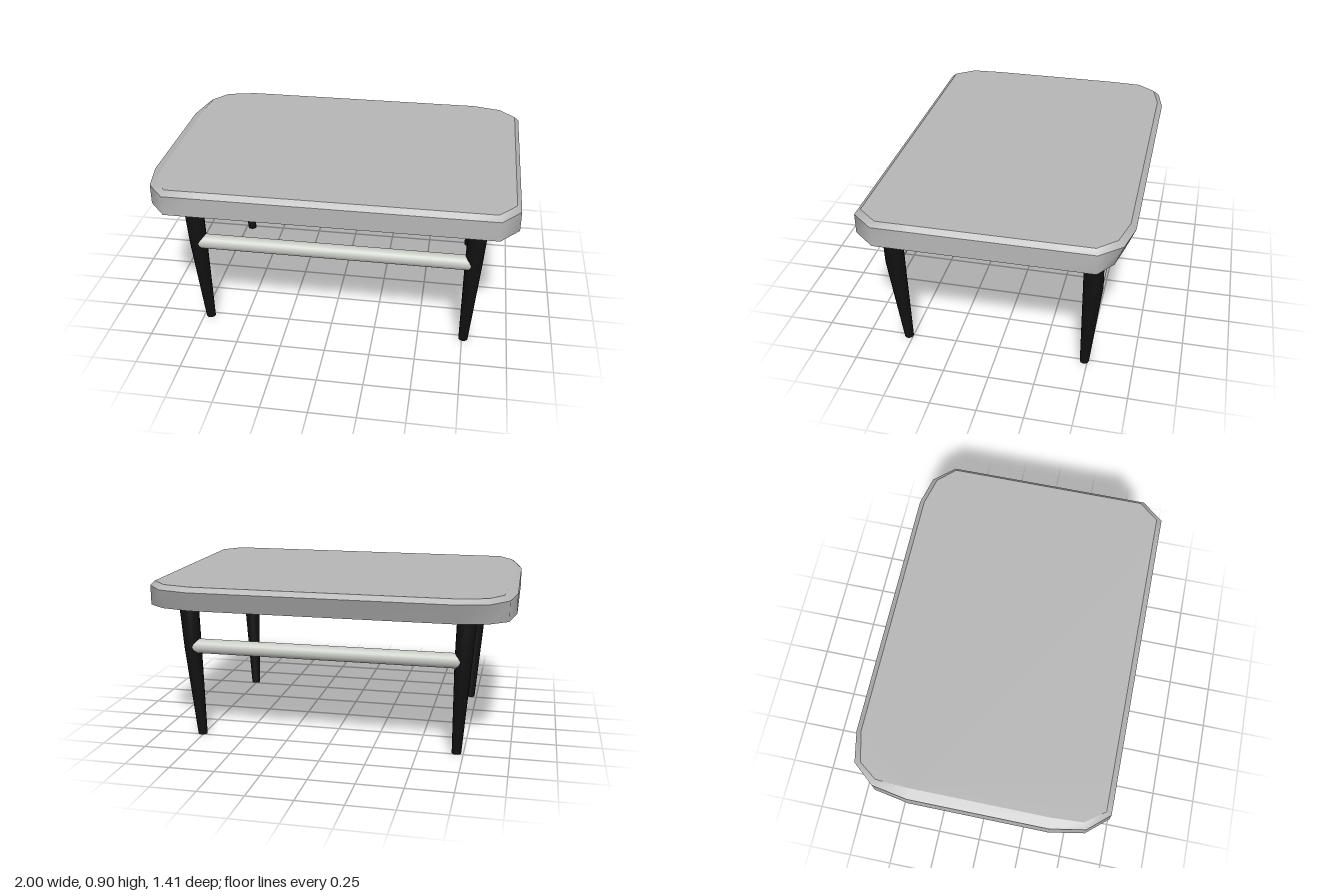
import * as THREE from 'three';

// Closed or open skin through matching rings of [x, y, z] points (clockwise from above, bottom to top)
function loft(rings, capBottom = false, capTop = false) {
  const n = rings[0].length;
  const pos = [];
  const index = [];
  const addRing = (ring) => {
    const start = pos.length / 3;
    ring.forEach((p) => pos.push(...p));
    return start;
  };
  const starts = rings.map(addRing);
  for (let r = 0; r + 1 < rings.length; r++) {
    const a = starts[r], b = starts[r + 1];
    for (let i = 0; i < n; i++) {
      const j = (i + 1) % n;
      index.push(a + j, a + i, b + i, a + j, b + i, b + j);
    }
  }
  const cap = (ring, up) => {
    const s = addRing(ring);
    for (let i = 1; i + 1 < n; i++) {
      if (up) index.push(s, s + i + 1, s + i);
      else index.push(s, s + i, s + i + 1);
    }
  };
  if (capBottom) cap(rings[0], false);
  if (capTop) cap(rings[rings.length - 1], true);
  const geo = new THREE.BufferGeometry();
  geo.setAttribute('position', new THREE.Float32BufferAttribute(pos, 3));
  geo.setIndex(index);
  geo.computeVertexNormals();
  return geo;
}

export function createModel() {
  const topGrey = new THREE.MeshStandardMaterial({ color: 0xb6b6b6 });
  topGrey.name = 'tabletopGrey';
  const railGrey = new THREE.MeshStandardMaterial({ color: 0xc6c8c2 });
  railGrey.name = 'railGrey';
  const legBlack = new THREE.MeshStandardMaterial({ color: 0x111111 });
  legBlack.name = 'legBlack';

  const model = new THREE.Group();
  model.name = 'table';
  const add = (name, geo, material, parent = model) => {
    const mesh = new THREE.Mesh(geo, material);
    mesh.name = name;
    parent.add(mesh);
    return mesh;
  };

  // Tabletop: slab outline, and the smaller outline of the upper face
  const outer = [
    [-1, -0.36], [-0.965, -0.555], [-0.865, -0.675], [-0.695, -0.71],
    [0.735, -0.71], [0.9, -0.67], [1, -0.555], [1, -0.36],
    [1, 0.4], [1, 0.585], [0.9, 0.705], [0.735, 0.705],
    [-0.695, 0.705], [-0.865, 0.705], [-0.965, 0.59], [-1, 0.4],
  ];
  const inner = [
    [-0.945, -0.36], [-0.935, -0.54], [-0.86, -0.64], [-0.695, -0.68],
    [0.725, -0.68], [0.885, -0.64], [0.975, -0.545], [0.975, -0.36],
    [0.975, 0.4], [0.975, 0.567], [0.885, 0.675], [0.735, 0.675],
    [-0.695, 0.675], [-0.857, 0.675], [-0.935, 0.57], [-0.945, 0.4],
  ];
  // The back edge leans inward towards the underside
  const bottom = outer.map(([x, z]) => [x, 0.77, z < -0.6 ? z * 0.937 : z]);
  const rim = outer.map(([x, z]) => [x, 0.88, z]);
  const face = inner.map(([x, z]) => [x, 0.905, z]);
  const tabletop = new THREE.Group();
  tabletop.name = 'tabletop';
  model.add(tabletop);
  add('tabletopEdge', loft([bottom, rim], true, false), topGrey, tabletop);
  add('tabletopBevel', loft([rim, face], false, true), topGrey, tabletop);

  // Legs: upright upper part, tapering and leaning in to the foot
  const midX = 0.023, midZ = 0.021;
  const ellipse = (x, y, z, rx, rz) => Array.from({ length: 16 }, (_, i) => {
    const t = (i / 16) * Math.PI * 2;
    return [x + Math.cos(t) * rx, y, z + Math.sin(t) * rz];
  });
  for (const sz of [1, -1]) {
    const topY = sz > 0 ? 0.772 : 0.75;
    for (const sx of [1, -1]) {
      const ring = (dx, y, dz, rx, rz) => ellipse(midX + sx * dx, y, midZ + sz * dz, rx, rz);
      const leg = loft([
        ring(0.735, 0, 0.504, 0.026, 0.025),
        ring(0.758, 0.53, 0.536, 0.047, 0.053),
        ring(0.77, topY, 0.536, 0.053, 0.053),
      ], true, true);
      add((sz > 0 ? 'front' : 'back') + (sx > 0 ? 'Left' : 'Right') + 'Leg', leg, legBlack);
    }

    // Round rail between each pair of legs
    const rail = add(sz > 0 ? 'frontRail' : 'backRail',
      new THREE.CylinderGeometry(0.041, 0.041, 1.51, 24), railGrey);
    rail.rotation.z = Math.PI / 2;
    rail.position.set(midX, 0.538, midZ + sz * 0.545);
  }
  return model;
}
